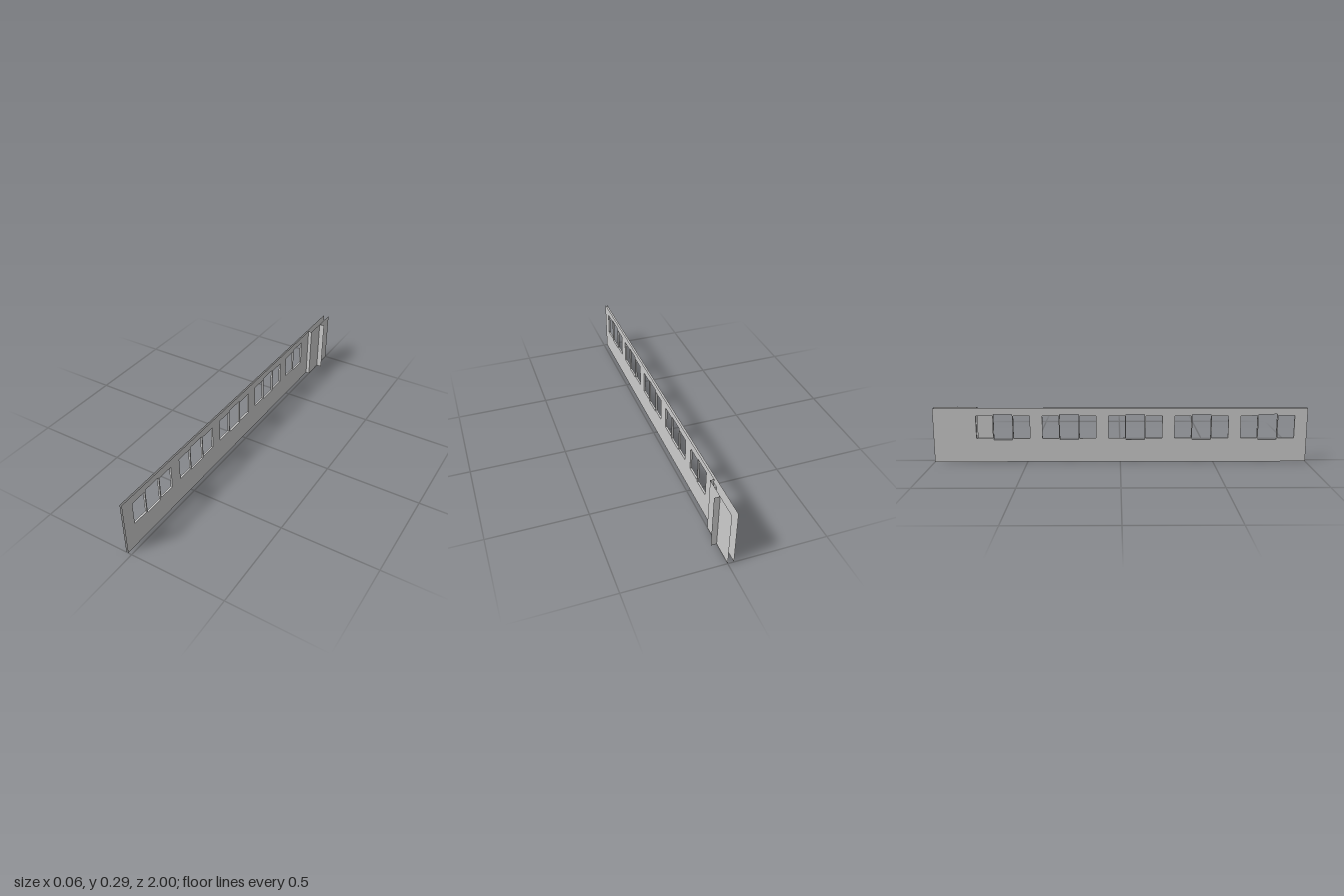
import * as THREE from 'three';

const H = 0.295;
const X_OUT = -0.03, X_IN = -0.02, X_PANEL = 0.0, X_FIN = 0.029;
const Z_POST = -0.765, Z_FIN = -0.876;

// One triple window, measured from its +z end: [start, end, bottom, top]
const PANES = [
  [0.0, 0.088, 0.13, 0.252],
  [0.094, 0.193, 0.122, 0.26],
  [0.199, 0.287, 0.13, 0.252],
];

export function createModel() {
  const group = new THREE.Group();
  const mat = new THREE.MeshStandardMaterial({ color: 0xcccccc, side: THREE.DoubleSide });

  const add = (geo, name, parent = group) => {
    const mesh = new THREE.Mesh(geo, mat);
    mesh.name = name;
    parent.add(mesh);
    return mesh;
  };

  // All window openings along the wall
  const windows = [];
  for (let i = 0; i < 5; i++) {
    const z = 0.932 - i * 0.354;
    for (const [a, b, y0, y1] of PANES) windows.push({ z0: z - b, z1: z - a, y0, y1 });
  }

  // Thin upright sheet in the y-z plane, with optional openings
  const sheet = (x, z0, z1, holes, name) => {
    const rect = (Type, a, b, y0, y1) => new Type([
      new THREE.Vector2(a, y0), new THREE.Vector2(b, y0),
      new THREE.Vector2(b, y1), new THREE.Vector2(a, y1),
    ]);
    const shape = rect(THREE.Shape, z0, z1, 0, H);
    for (const w of holes) shape.holes.push(rect(THREE.Path, w.z0, w.z1, w.y0, w.y1));
    const geo = new THREE.ShapeGeometry(shape).rotateY(-Math.PI / 2);
    return add(geo.translate(x, 0, 0), name);
  };

  // Thin upright sheet across the wall, in the x-y plane
  const crossSheet = (x0, x1, y0, y1, z, name, parent) =>
    add(new THREE.PlaneGeometry(x1 - x0, y1 - y0)
      .translate((x0 + x1) / 2, (y0 + y1) / 2, z), name, parent);

  // Double-skinned wall
  sheet(X_OUT, -1, 1, windows, 'outerWall');
  sheet(X_IN, Z_POST, 1, windows, 'innerWall');

  // Reveals lining each window between the two skins
  const reveals = new THREE.Group();
  reveals.name = 'windowReveals';
  group.add(reveals);
  for (const w of windows) {
    for (const z of [w.z0, w.z1]) crossSheet(X_OUT, X_IN, w.y0, w.y1, z, 'windowJamb', reveals);
    for (const y of [w.y0, w.y1]) {
      const geo = new THREE.PlaneGeometry(X_IN - X_OUT, w.z1 - w.z0).rotateX(-Math.PI / 2);
      geo.translate((X_OUT + X_IN) / 2, y, (w.z0 + w.z1) / 2);
      add(geo, y === w.y0 ? 'windowSill' : 'windowHead', reveals);
    }
  }

  // Stepped-in end panel with its return and a projecting fin
  sheet(X_PANEL, -1, Z_POST, [], 'endPanel');
  crossSheet(X_IN, X_PANEL, 0, H, Z_POST, 'panelReturn');
  crossSheet(X_PANEL, X_FIN, 0, H, Z_FIN, 'partitionFin');

  return group;
}
